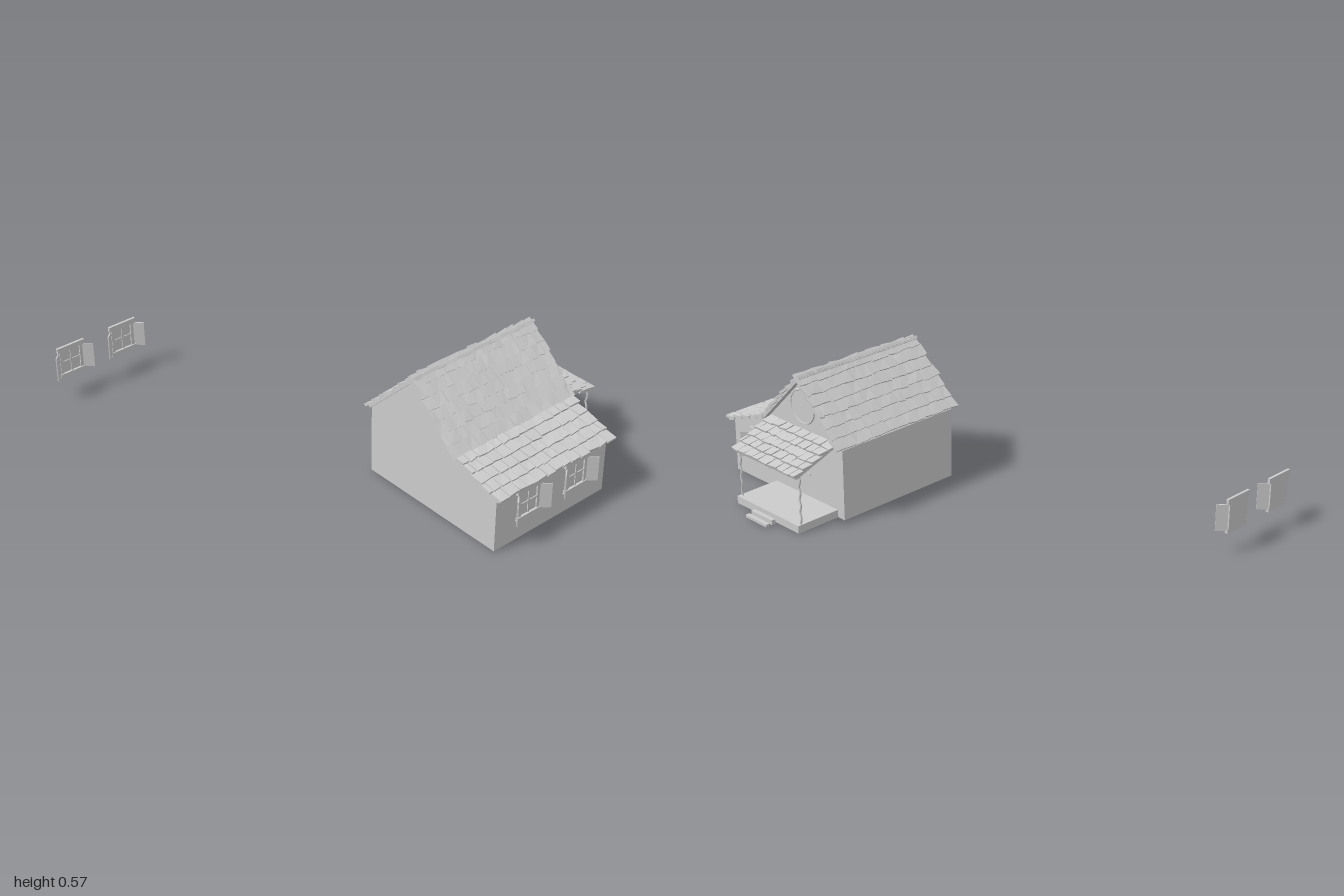
import * as THREE from 'three';
import { mergeGeometries } from 'three/addons/utils/BufferGeometryUtils.js';

const mat = new THREE.MeshStandardMaterial({ color: 0xcccccc, flatShading: true });

// Small seeded generator, range -1..1
let seed = 7;
const rnd = () => {
  seed = (seed * 16807) % 2147483647;
  return (seed / 2147483647) * 2 - 1;
};

function mesh(name, geometry, parent) {
  const m = new THREE.Mesh(geometry, mat);
  m.name = name;
  parent.add(m);
  return m;
}

// Box given by its minimum and maximum corners
function box(x0, y0, z0, x1, y1, z1) {
  return new THREE.BoxGeometry(x1 - x0, y1 - y0, z1 - z0)
    .translate((x0 + x1) / 2, (y0 + y1) / 2, (z0 + z1) / 2);
}

// One rough shingle: x across, z down the slope, lower end raised, corners uneven
function shingle(x, z, width, length) {
  const g = new THREE.BoxGeometry(width, 0.011, length);
  const p = g.attributes.position;
  const skew = [0, 1, 2, 3].map(() => [rnd() * 0.003, rnd() * 0.004, rnd() * 0.0015]);
  for (let i = 0; i < p.count; i++) {
    const low = p.getZ(i) > 0;
    const s = skew[(p.getX(i) > 0 ? 1 : 0) + (low ? 2 : 0)];
    p.setXYZ(i, x + p.getX(i) + s[0], p.getY(i) - (low ? 0.005 : 0.015) + s[2], z + p.getZ(i) + s[1]);
  }
  g.computeVertexNormals();
  return g;
}

// A shingled slope starting at its upper edge and falling along local z
function slope(name, parent, pos, yaw, pitch, width, length, rows) {
  const group = new THREE.Group();
  group.name = name;
  group.position.set(...pos);
  group.rotation.set(pitch, yaw, 0, 'YXZ');
  const h = length / rows;
  const tiles = [];
  for (let r = 0; r < rows; r++) {
    const end = width / 2 + rnd() * 0.006;
    let x = -width / 2 + rnd() * 0.006;
    let first = r % 2 ? 0.5 : 1;
    while (x < end - 0.008) {
      let w = (0.048 + rnd() * 0.01) * first;
      if (x + w > end - 0.015) w = end - x;
      tiles.push(shingle(x + w / 2, (r + 0.46) * h, w - 0.003, h * 1.12));
      x += w;
      first = 1;
    }
  }
  mesh(name + 'Shingles', mergeGeometries(tiles), group);
  mesh(name + 'Deck', box(-width / 2 + 0.008, -0.024, 0, width / 2 - 0.008, -0.013, length - 0.006), group);
  parent.add(group);
}

// Window with a cross of glazing bars and two half-open shutters
function windowUnit(name, parent, pos, yaw = 0) {
  const group = new THREE.Group();
  group.name = name;
  group.position.set(...pos);
  group.rotation.y = yaw;
  mesh('pane', box(-0.052, 0.1, 0, 0.052, 0.215, 0.003), group);
  mesh('frame', mergeGeometries([
    box(-0.066, 0.212, 0, 0.066, 0.235, 0.011),
    box(-0.062, 0.088, 0, 0.062, 0.106, 0.013),
    box(-0.056, 0.106, 0, -0.042, 0.212, 0.009),
    box(0.042, 0.106, 0, 0.056, 0.212, 0.009),
    box(-0.004, 0.106, 0, 0.004, 0.212, 0.007),
    box(-0.042, 0.155, 0, 0.042, 0.163, 0.007),
  ]), group);
  for (const s of [-1, 1]) {
    const shutter = mesh('shutter', new THREE.BoxGeometry(0.048, 0.112, 0.005).translate(s * 0.024, 0, 0), group);
    shutter.position.set(s * 0.058, 0.156, 0.005);
    shutter.rotation.y = -s * 0.75;
  }
  parent.add(group);
}

export function createModel() {
  seed = 7;
  const model = new THREE.Group();
  model.name = 'cottage';

  // Walls: gable profile in z and y, extruded along x
  const profile = new THREE.Shape([
    [0.265, 0], [0.96, 0], [0.96, 0.232], [0.745, 0.303], [0.505, 0.543], [0.265, 0.306],
  ].map(([z, y]) => new THREE.Vector2(z, y)));
  mesh('walls', new THREE.ExtrudeGeometry(profile, { depth: 0.6, bevelEnabled: false })
    .rotateY(-Math.PI / 2).translate(0.5, 0, 0), model);

  // Roof slopes
  slope('frontRoof', model, [0.205, 0.573, 0.503], 0, 0.785, 0.66, 0.35, 7);
  slope('backRoof', model, [0.205, 0.573, 0.503], Math.PI, 0.785, 0.66, 0.355, 7);
  slope('lowerFrontRoof', model, [0.21, 0.331, 0.74], 0, 0.315, 0.64, 0.256, 5);
  slope('porchRoof', model, [0.5, 0.337, 0.5], Math.PI / 2, 0.346, 0.41, 0.236, 5);

  // Round gable window
  mesh('roundWindowFrame', new THREE.TorusGeometry(0.072, 0.005, 6, 32)
    .rotateY(Math.PI / 2).translate(0.5, 0.427, 0.503), model);
  mesh('roundWindowPane', new THREE.CylinderGeometry(0.07, 0.07, 0.004, 32)
    .rotateZ(Math.PI / 2).translate(0.5, 0.427, 0.503), model);

  // Porch floor, steps and door knob
  mesh('porchFloor', box(0.49, 0, 0.305, 0.707, 0.033, 0.695), model);
  mesh('upperStep', box(0.72, 0.002, 0.435, 0.738, 0.023, 0.565), model);
  mesh('lowerStep', box(0.749, 0.002, 0.435, 0.767, 0.014, 0.565), model);
  mesh('doorKnob', new THREE.SphereGeometry(0.005, 8, 6).translate(0.503, 0.136, 0.473), model);

  // Crooked porch posts
  for (const s of [-1, 1]) {
    const points = [];
    for (let i = 0; i <= 8; i++) {
      points.push(new THREE.Vector3(0.686, 0.03 + i * 0.0275, 0.5 + s * (0.187 + (i % 2 ? 0.004 : -0.003))));
    }
    mesh('porchPost', new THREE.TubeGeometry(new THREE.CatmullRomCurve3(points), 32, 0.0045, 6), model);
  }

  // Windows on the front and right-hand walls, and the detached pair behind
  for (const x of [0.07, 0.33]) windowUnit('frontWindow', model, [x, 0, 0.96]);
  windowUnit('gableWindow', model, [0.5, 0, 0.785], Math.PI / 2);
  for (const x of [-0.68, -0.418]) windowUnit('detachedWindow', model, [x, 0, -1]);

  return model;
}
